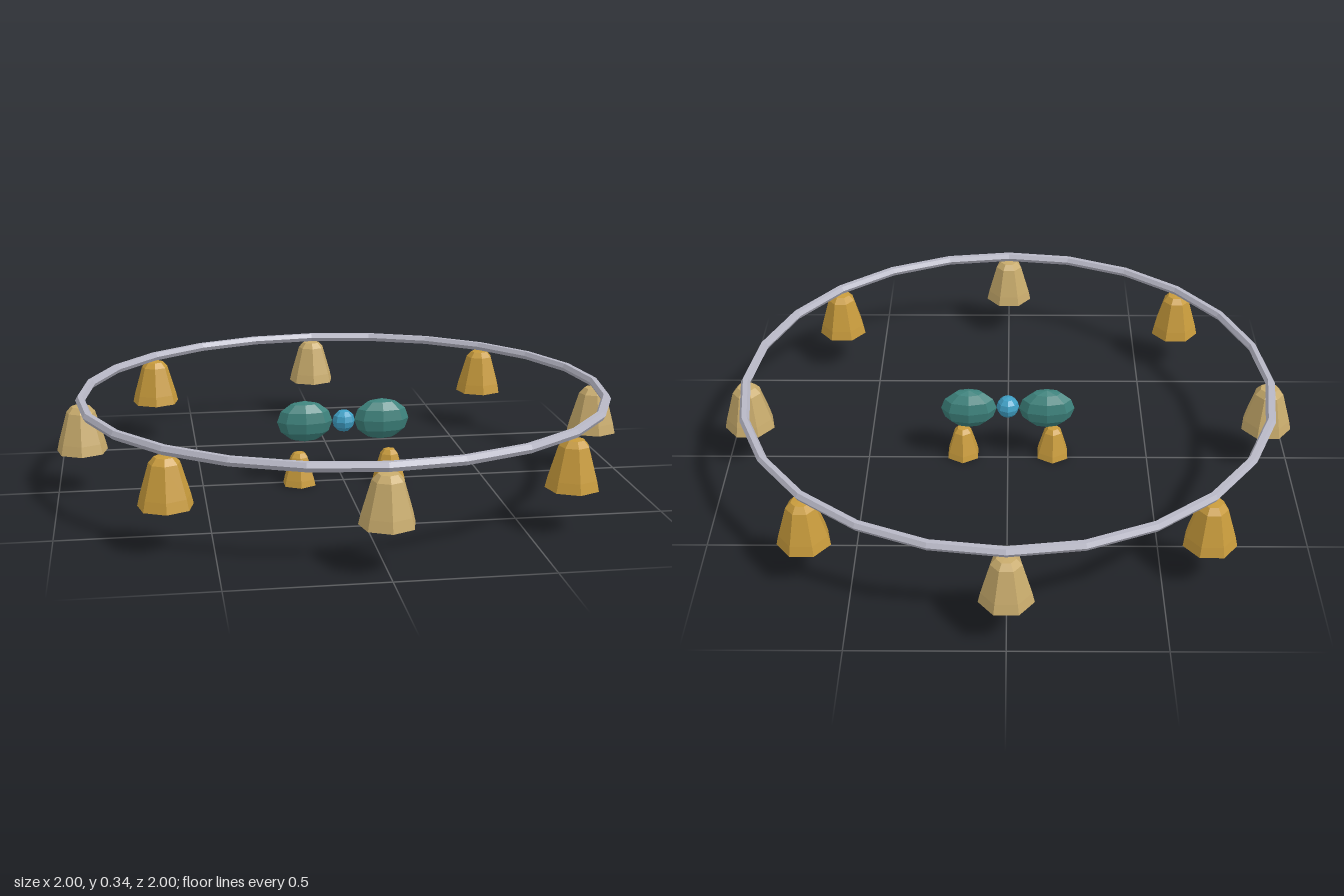
import * as THREE from 'three';

const material = (name, color, flatShading = true) => {
  const m = new THREE.MeshStandardMaterial({ color, flatShading });
  m.name = name;
  return m;
};

export function createModel() {
  const group = new THREE.Group();
  const gold = material('gold', 0xc89b3c);
  const tan = material('tan', 0xc8ab6c);
  const teal = material('teal', 0x3d827c);
  const blue = material('blue', 0x3f9fc4);
  const silver = material('silver', 0xb8b8c6);

  const add = (name, geometry, mat, x, y, z) => {
    const mesh = new THREE.Mesh(geometry, mat);
    mesh.name = name;
    mesh.position.set(x, y, z);
    group.add(mesh);
    return mesh;
  };

  // Faceted closed bell with a small sloped crown
  const bell = (points, sides) =>
    new THREE.LatheGeometry(points.map(([r, y]) => new THREE.Vector2(r, y)), sides);

  const ringRadius = 0.913, ringZ = -0.005;

  // Suspension ring
  const ring = add('ring', new THREE.TorusGeometry(ringRadius, 0.017, 6, 24), silver, 0, 0.326, ringZ);
  ring.rotation.x = Math.PI / 2;

  // Eight hanging bells in alternating colours
  const largeBell = bell([[0, 0], [0.089, 0], [0.081, 0.035], [0.05, 0.14], [0.032, 0.16], [0, 0.163]], 7);
  for (let i = 0; i < 8; i++) {
    const a = (i / 8) * Math.PI * 2;
    add('hangingBell', largeBell, i % 2 ? gold : tan,
      Math.sin(a) * ringRadius, 0.145, ringZ + Math.cos(a) * ringRadius);
  }

  // Central bead
  add('centreBead', new THREE.SphereGeometry(0.04, 8, 6), blue, 0, 0.22, 0.002);

  // Paired side lobes with a small bell below each
  const lobe = new THREE.SphereGeometry(1, 8, 6);
  lobe.scale(0.098, 0.074, 0.05);
  const smallBell = bell([[0, 0], [0.062, 0], [0.057, 0.022], [0.033, 0.1], [0.02, 0.115], [0, 0.117]], 6);
  for (const side of [-1, 1]) {
    add(side > 0 ? 'leftLobe' : 'rightLobe', lobe, teal, side * 0.137, 0.22, -0.007);
    add(side > 0 ? 'leftSmallBell' : 'rightSmallBell', smallBell, gold, side * 0.161, 0, 0.023);
  }
  return group;
}
